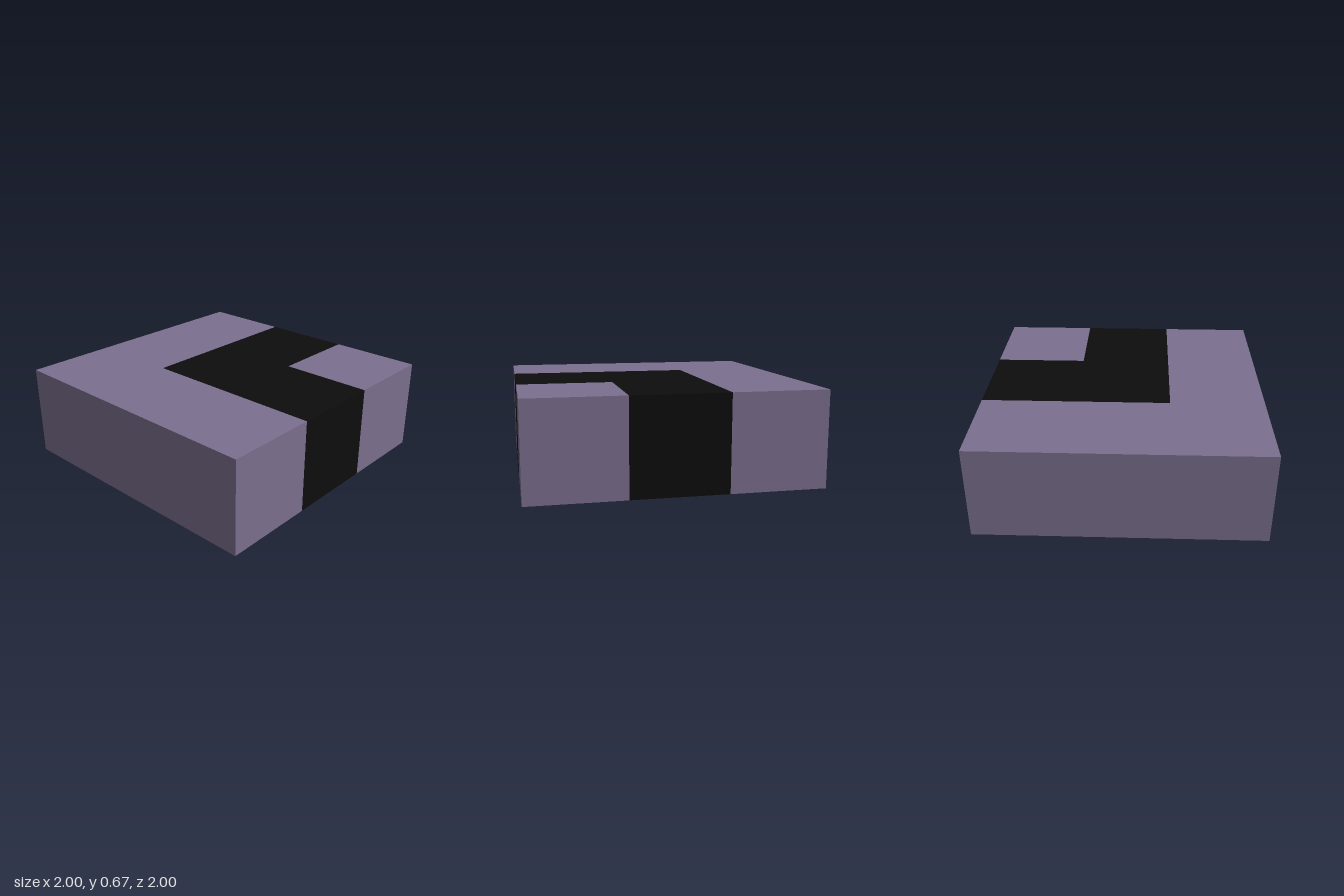
import * as THREE from 'three';

const HEIGHT = 2 / 3;
const T = 1 / 3; // half the width of the path

export function createModel() {
  const group = new THREE.Group();
  const purple = new THREE.MeshStandardMaterial({ name: 'dusty purple', color: 0x7b6f8e });
  const black = new THREE.MeshStandardMaterial({ name: 'near black', color: 0x0d0d0d });

  // Extrude a plan outline, given as [x, -z] corners, up from the ground
  const addSlab = (name, corners, material) => {
    const shape = new THREE.Shape(corners.map(([x, y]) => new THREE.Vector2(x, y)));
    const geometry = new THREE.ExtrudeGeometry(shape, { depth: HEIGHT, bevelEnabled: false });
    geometry.rotateX(-Math.PI / 2);
    const mesh = new THREE.Mesh(geometry, material);
    mesh.name = name;
    group.add(mesh);
  };

  // L-shaped band running from (start, start) to the back and right edges
  const band = (start, end) => [
    [start, start], [1, start], [1, end], [end, end], [end, 1], [start, 1],
  ];

  addSlab('outerBorder', band(-1, -T), purple);
  addSlab('cornerPath', band(-T, T), black);
  addSlab('innerCorner', [[T, T], [1, T], [1, 1], [T, 1]], purple);

  return group;
}
